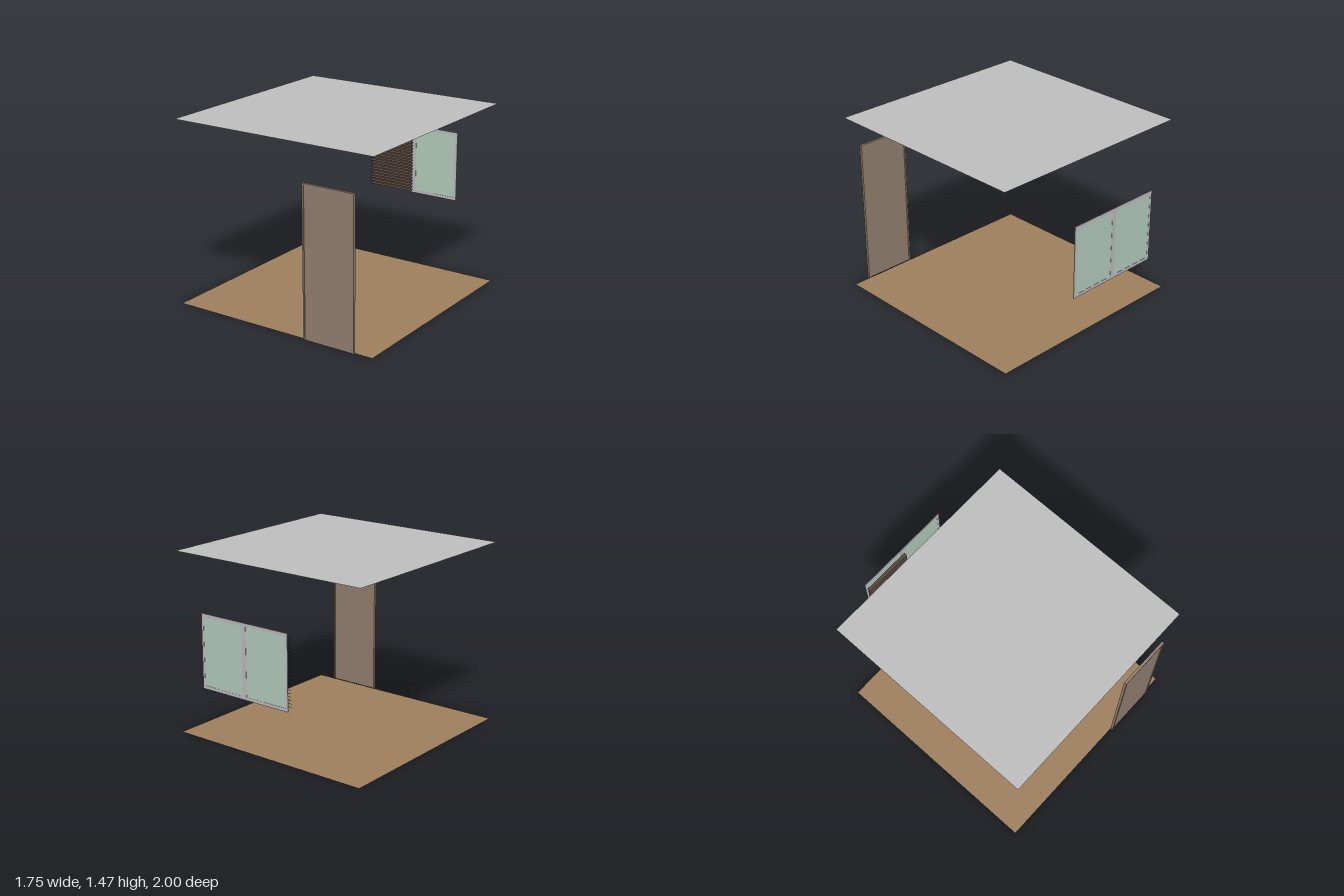
import * as THREE from 'three';

const mat = (name, color, side = THREE.FrontSide) => {
  const m = new THREE.MeshStandardMaterial({ color, side });
  m.name = name;
  return m;
};

export function createModel() {
  const model = new THREE.Group();
  model.name = 'room';
  const ceilingGrey = mat('ceilingGrey', 0xbcbcbc, THREE.DoubleSide);
  const floorWood = mat('floorWood', 0x9c7e5c, THREE.DoubleSide);
  const doorBrown = mat('doorBrown', 0x8f7d6d);
  const frameGrey = mat('frameGrey', 0xbab6ba);
  const glassGreen = mat('glassGreen', 0xb0c8ba);
  const slatBrown = mat('slatBrown', 0x4e3a32);

  // Box given by its lower and upper limits on each axis
  const box = (parent, name, material, [x0, x1], [y0, y1], [z0, z1]) => {
    const mesh = new THREE.Mesh(new THREE.BoxGeometry(x1 - x0, y1 - y0, z1 - z0), material);
    mesh.position.set((x0 + x1) / 2, (y0 + y1) / 2, (z0 + z1) / 2);
    mesh.name = name;
    parent.add(mesh);
    return mesh;
  };
  const group = (name) => {
    const g = new THREE.Group();
    g.name = name;
    model.add(g);
    return g;
  };

  // Floor and ceiling sheets, the ceiling facing up like the floor
  const sheet = new THREE.PlaneGeometry(1.755, 1.76).rotateX(-Math.PI / 2);
  for (const [name, y, material] of [['floor', 0, floorWood], ['ceiling', 1.47, ceilingGrey]]) {
    const mesh = new THREE.Mesh(sheet, material);
    mesh.position.set(0, y, 0.1);
    mesh.name = name;
    model.add(mesh);
  }

  // Door: a recessed panel within a narrow frame
  const door = group('door');
  const [dx0, dx1, dTop, dw] = [0.296, 0.732, 1.19, 0.013];
  const doorZ = [0.978, 1];
  box(door, 'doorPanel', doorBrown, [dx0 + dw, dx1 - dw], [0, dTop - dw], [0.984, 0.994]);
  box(door, 'doorJambRight', doorBrown, [dx0, dx0 + dw], [0, dTop], doorZ);
  box(door, 'doorJambLeft', doorBrown, [dx1 - dw, dx1], [0, dTop], doorZ);
  box(door, 'doorHead', doorBrown, [dx0 + dw, dx1 - dw], [dTop - dw, dTop], doorZ);

  // Window: outer frame, centre post and two panes
  const win = group('window');
  const [wx, wy0, wy1, post, rail] = [0.41, 0.532, 1.115, 0.02, 0.026];
  const winZ = [-1, -0.995];
  box(win, 'windowSill', frameGrey, [-wx, wx], [wy0, wy0 + rail], winZ);
  box(win, 'windowHead', frameGrey, [-wx, wx], [wy1 - rail, wy1], winZ);
  box(win, 'windowPost', frameGrey, [-post, post], [wy0 + rail, wy1 - rail], winZ);
  for (const s of [-1, 1]) {
    const span = (a, b) => [Math.min(s * a, s * b), Math.max(s * a, s * b)];
    box(win, 'windowStile', frameGrey, span(wx - post, wx), [wy0 + rail, wy1 - rail], winZ);
    box(win, 'windowPane', glassGreen, span(post, wx - post), [wy0 + rail, wy1 - rail], [-0.9985, -0.9965]);
  }

  // Blind: tilted slats in front of one half of the window
  const blind = group('blind');
  const slats = 21;
  for (let i = 0; i < slats; i++) {
    const y = 0.56 + (i * 0.512) / (slats - 1);
    const slat = box(blind, 'slat', slatBrown, [-0.407, 0.002], [y - 0.0007, y + 0.0007], [-0.9775, -0.9515]);
    slat.rotation.x = Math.PI / 6;
  }
  return model;
}
